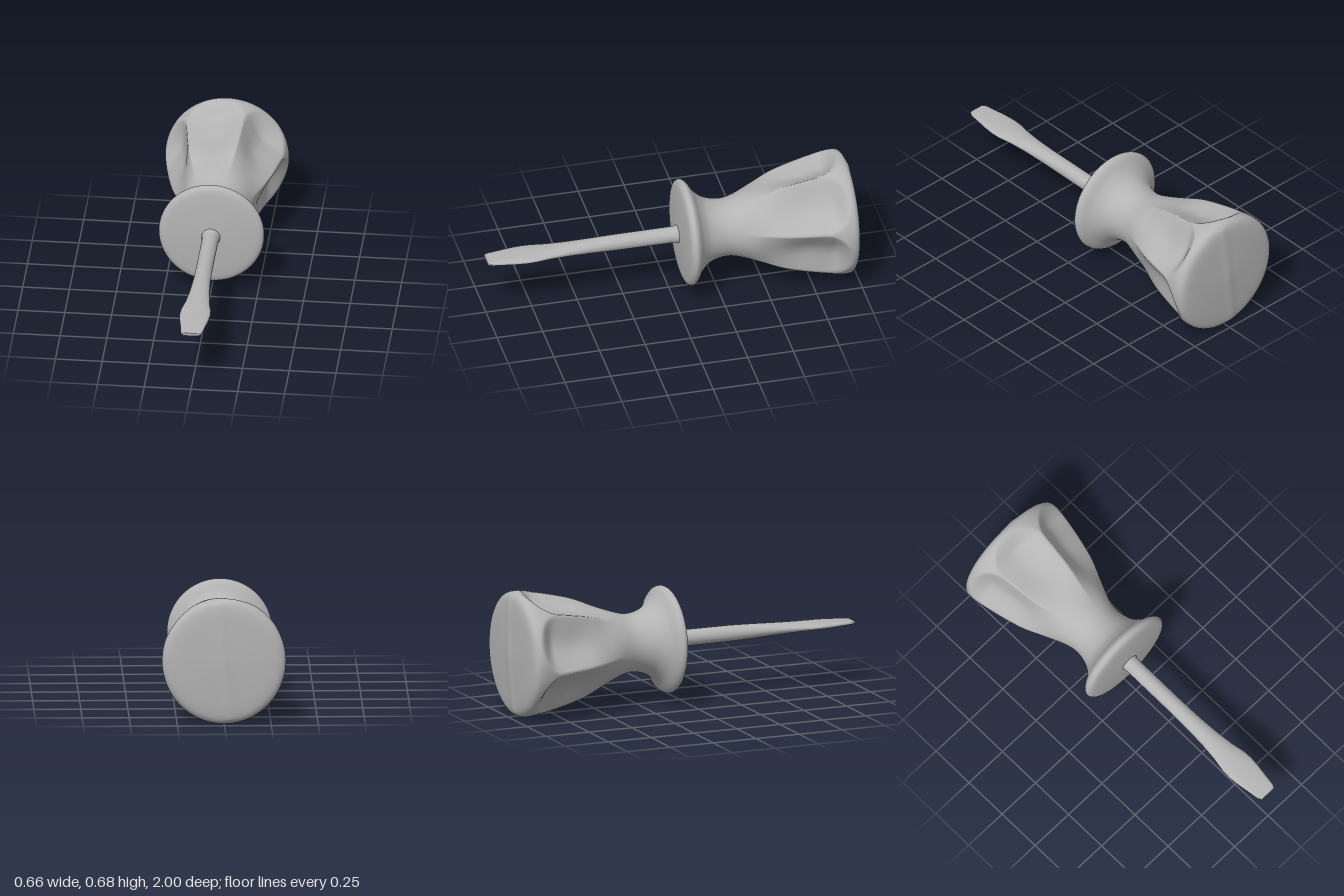
import * as THREE from 'three';

const { smoothstep, clamp } = THREE.MathUtils;

// Closed loft running from +z to -z: point(row, angle) gives [x, y, z]
function loft(rows, sides, point) {
  const pos = [], index = [];
  for (let i = 0; i < rows; i++)
    for (let j = 0; j < sides; j++) pos.push(...point(i, (j / sides) * Math.PI * 2));
  for (let i = 0; i < rows - 1; i++)
    for (let j = 0; j < sides; j++) {
      const k = (j + 1) % sides;
      const a = i * sides + j, b = i * sides + k;
      const c = a + sides, d = b + sides;
      index.push(a, c, b, b, c, d);
    }
  const g = new THREE.BufferGeometry();
  g.setAttribute('position', new THREE.Float32BufferAttribute(pos, 3));
  g.setIndex(index);
  g.computeVertexNormals();
  return g;
}

// Handle: turned profile (z, radius) with six scooped flutes
function handleGeometry() {
  const profile = new THREE.SplineCurve([
    [-0.045, 0], [-0.05, 0.1], [-0.058, 0.21], [-0.068, 0.27], [-0.09, 0.289],
    [-0.115, 0.274], [-0.15, 0.222], [-0.2, 0.18], [-0.28, 0.158], [-0.36, 0.168],
    [-0.48, 0.218], [-0.6, 0.27], [-0.75, 0.31], [-0.88, 0.334], [-0.935, 0.338],
    [-0.965, 0.326], [-0.981, 0.28], [-0.99, 0.15], [-0.996, 0],
  ].map(p => new THREE.Vector2(...p)));
  const pts = profile.getSpacedPoints(180);
  const ridge = THREE.MathUtils.degToRad(11);
  const step = Math.PI / 3;

  return loft(pts.length, 180, (i, a) => {
    let z = pts[i].x, r = Math.max(0, pts[i].y);
    // position across one flute: -1 and 1 are the ridges, 0 the middle
    const u = a / step;
    const t = (u - Math.floor(u)) * 2 - 1;
    // each flute fades into the neck and ends in a round arch at the butt
    const e = clamp((z + 0.935) / 0.16, 0, 1);
    const arch = Math.sqrt(1 - (1 - e) ** 2);
    if (arch > 0.01) {
      const depth = 0.078 * smoothstep(-z, 0.36, 0.74) * smoothstep(z, -0.945, -0.84);
      r -= depth * Math.max(0, 1 - (t / arch) ** 2);
    }
    // the section is slightly taller than wide
    const x = 0.975 * r * Math.cos(a + ridge), y = r * Math.sin(a + ridge);
    // faint raised seam across the butt
    if (z < -0.97) z -= 0.004 * Math.exp(-(((x - 0.1 * y) / 0.03) ** 2));
    return [x, y, z];
  });
}

// Shaft: round rod that widens and thins into a flat blade
function shaftGeometry() {
  // z, half width, half height, squareness of the section
  const rows = [
    [1, 0, 0, 0.5], [1, 0.046, 0.008, 0.5], [1, 0.046, 0.008, 0.5],
    [0.98, 0.057, 0.009, 0.5], [0.92, 0.065, 0.013, 0.6], [0.85, 0.076, 0.017, 0.75],
    [0.79, 0.082, 0.02, 0.9], [0.74, 0.08, 0.023, 1], [0.66, 0.065, 0.027, 1],
    [0.56, 0.054, 0.032, 1], [0.44, 0.047, 0.038, 1], [0.3, 0.044, 0.043, 1],
    [0, 0.044, 0.044, 1], [-0.035, 0.045, 0.045, 1], [-0.05, 0.052, 0.052, 1],
    [-0.08, 0.052, 0.052, 1],
  ];
  const bend = (v, e) => Math.sign(v) * Math.abs(v) ** e;
  return loft(rows.length, 40, (i, a) => {
    const [z, w, h, e] = rows[i];
    return [w * bend(Math.cos(a), e), h * bend(Math.sin(a), e), z];
  });
}

export function createModel() {
  const grey = new THREE.MeshStandardMaterial({ color: 0xb4b4b4 });
  grey.name = 'plain grey';

  const model = new THREE.Group();
  model.name = 'screwdriver';
  const add = (name, geometry, y) => {
    const mesh = new THREE.Mesh(geometry, grey);
    mesh.name = name;
    mesh.position.y = y;
    model.add(mesh);
  };
  add('handle', handleGeometry(), 0.338);
  add('shaft', shaftGeometry(), 0.334);
  return model;
}
